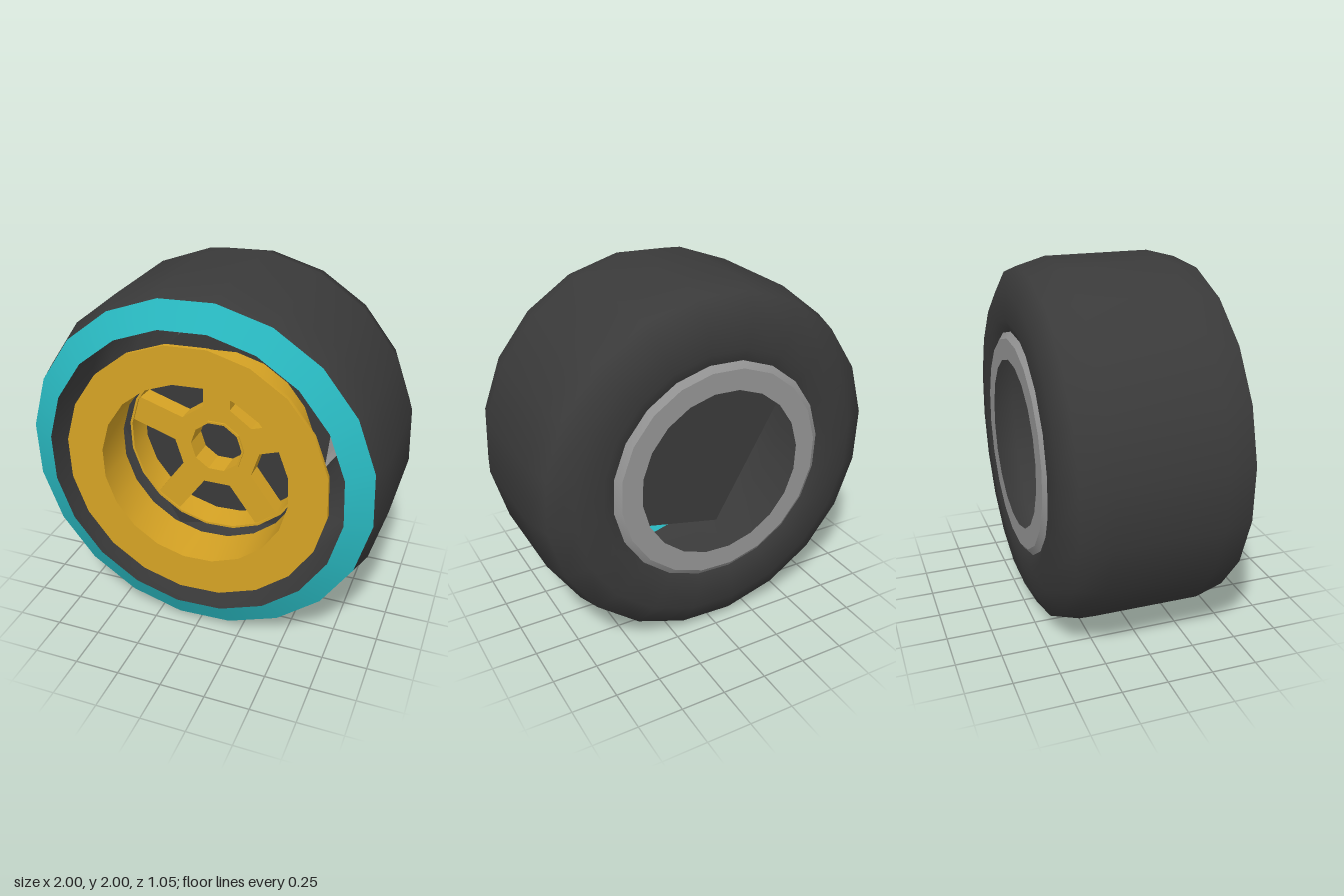
import * as THREE from 'three';
import { toCreasedNormals } from 'three/addons/utils/BufferGeometryUtils.js';

const DEG = Math.PI / 180;

function material(name, color) {
  const m = new THREE.MeshStandardMaterial({ color, side: THREE.DoubleSide });
  m.name = name;
  return m;
}

// Revolve [radius, z] points around the z axis.
function revolve(profile, sides = 20, startDeg = 11.2) {
  const points = profile.map(([r, z]) => new THREE.Vector2(r, z));
  return new THREE.LatheGeometry(points, sides, startDeg * DEG).rotateX(Math.PI / 2);
}

const polar = (r, deg) => new THREE.Vector2(r * Math.cos(deg * DEG), r * Math.sin(deg * DEG));

export function createModel() {
  const rubber = material('dark rubber', 0x3a3a3a);
  const teal = material('teal', 0x29b9c1);
  const gold = material('gold', 0xd6a324);
  const grey = material('grey metal', 0x959595);

  const wheel = new THREE.Group();
  wheel.name = 'wheel';
  wheel.position.y = 1;
  const add = (name, geometry, mat) => {
    const mesh = new THREE.Mesh(geometry, mat);
    mesh.name = name;
    wheel.add(mesh);
    return mesh;
  };
  const creased = (g) => toCreasedNormals(g, 0.5);

  // Hollow tyre, open at the front and back
  add('tyre', revolve([
    [0.62, -0.5], [0.685, -0.525], [0.835, -0.515], [0.962, -0.45],
    [1.006, -0.29], [1.006, 0.29], [0.962, 0.455],
  ]), rubber);

  // Coloured front sidewall
  add('sidewallBand', revolve([[0.962, 0.455], [0.825, 0.525]]), teal);

  // Bevelled ring around the back opening
  add('backRing', creased(revolve([[0.62, -0.5], [0.585, -0.525], [0.47, -0.525]])), grey);

  // Flat front lip with the outer half of the barrel
  add('rimLip', creased(revolve([
    [0.535, 0.245], [0.54, 0.47], [0.735, 0.475], [0.735, 0.5],
    [0.526, 0.5], [0.526, 0.245], [0.535, 0.245],
  ])), gold);

  // Inner half of the barrel, separated by a narrow gap
  add('rimBarrel', creased(revolve([
    [0.52, 0], [0.525, 0.16], [0.512, 0.16], [0.505, 0],
  ])), gold);

  // Five spokes growing out of a ten-sided hub plate
  const outline = [];
  for (let i = 0; i < 5; i++) {
    const a = 90 + 72 * i;
    const half = Math.asin(0.077 / 0.515) / DEG;
    outline.push(polar(0.25, a - 18), polar(0.515, a - half), polar(0.515, a + half), polar(0.25, a + 18));
  }
  const star = new THREE.Shape(outline);
  const hole = Array.from({ length: 10 }, (_, i) => polar(0.155, -36 * i));
  star.holes.push(new THREE.Path(hole));
  const spokes = new THREE.ExtrudeGeometry(star, { depth: 0.11, bevelEnabled: false });
  add('spokes', spokes, gold).position.z = 0.04;

  // Hub collar
  add('hub', creased(revolve([
    [0.162, 0.01], [0.162, 0.16], [0.15, 0.16], [0.15, 0.01],
  ], 10, 18)), gold);

  // Five-sided plate closing the wheel behind the spokes
  add('backingPlate', new THREE.CircleGeometry(0.73, 5, 30 * DEG), rubber);

  const model = new THREE.Group();
  model.name = 'wheelModel';
  model.add(wheel);
  return model;
}
